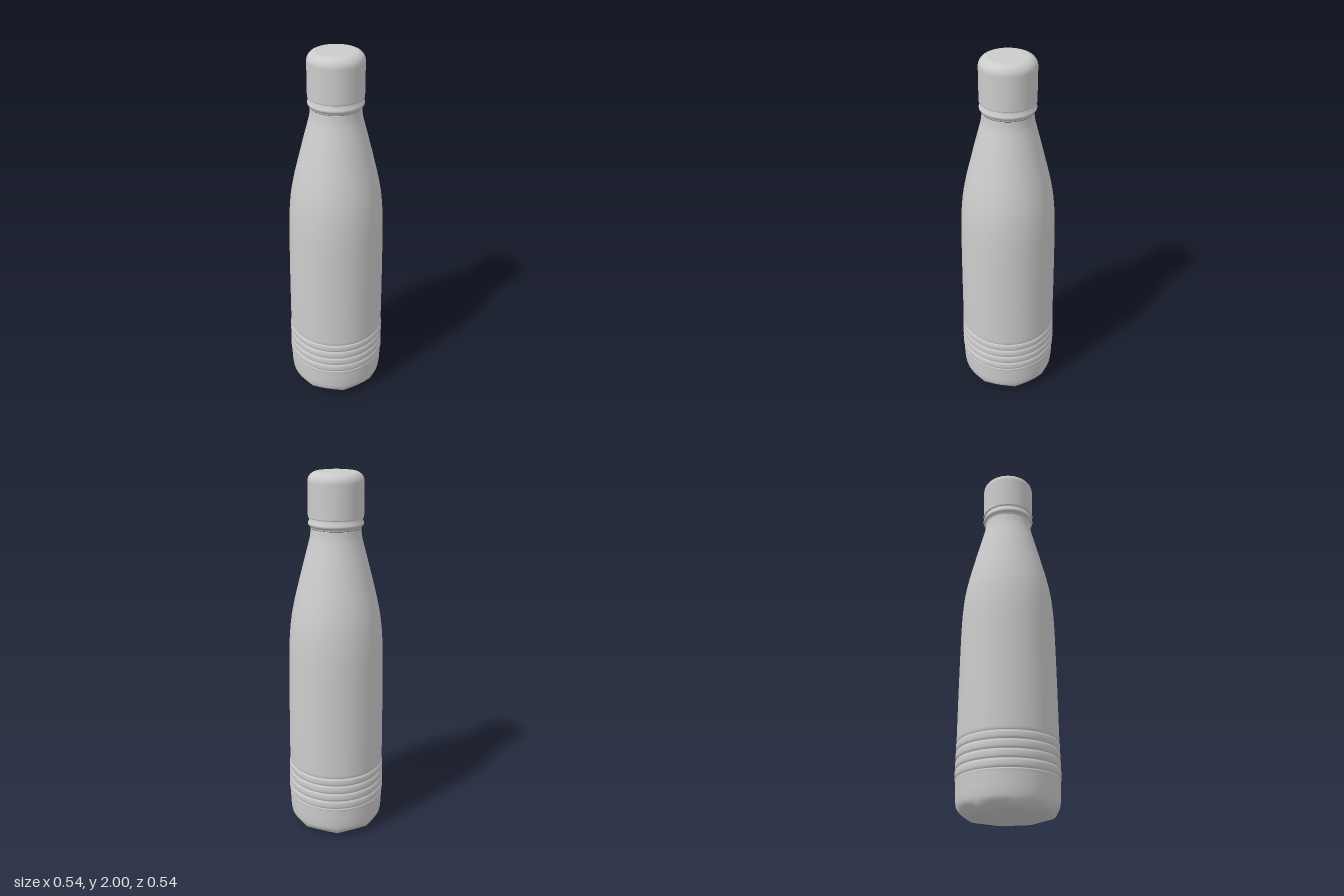
import * as THREE from 'three';
import { mergeVertices } from 'three/addons/utils/BufferGeometryUtils.js';

const SIDES = 96;
const v = (x, y) => new THREE.Vector2(x, y);
const material = new THREE.MeshStandardMaterial({ color: 0xcccccc });

// Smooth run of profile points through a few [radius, height] pairs
const smooth = (pairs, n) => new THREE.SplineCurve(pairs.map(p => v(...p))).getPoints(n);

function lathe(name, points, reshape) {
  let geo = new THREE.LatheGeometry(points, SIDES);
  if (reshape) {
    reshape(geo.attributes.position);
    geo.deleteAttribute('normal');
    geo.deleteAttribute('uv');
    geo = mergeVertices(geo, 1e-5);
    geo.computeVertexNormals();
  }
  const mesh = new THREE.Mesh(geo, material);
  mesh.name = name;
  return mesh;
}

// The underside blends from the round wall into a soft octagon
function octagonBase(pos) {
  const step = Math.PI / 4;
  for (let i = 0; i < pos.count; i++) {
    const x = pos.getX(i), y = pos.getY(i), z = pos.getZ(i);
    if (y > 0.06) continue;
    const a = Math.atan2(z, x);
    const local = a - (Math.floor(a / step) + 0.5) * step;
    const flat = Math.cos(step / 2) / Math.cos(local);
    const k = 1 + (flat - 1) * (1 - THREE.MathUtils.smoothstep(y, 0, 0.06));
    pos.setXYZ(i, x * k, y, z * k);
  }
}

export function createModel() {
  const model = new THREE.Group();
  model.name = 'bottle';

  // Body: base, grooved bands, shoulder and neck in one profile
  const profile = [
    v(0, 0), v(0.1, 0), v(0.185, 0),
    ...smooth([[0.205, 0.002], [0.235, 0.012], [0.255, 0.04], [0.264, 0.09], [0.267, 0.185]], 20),
  ];
  const grooves = [0.193, 0.24, 0.287, 0.335, 0.38];
  grooves.forEach((y, i) => {
    const r = 0.27 - i * 0.001;
    profile.push(v(r - 0.001, y - 0.005), v(r - 0.005, y - 0.0015), v(r - 0.005, y + 0.0015), v(r - 0.001, y + 0.005));
    if (i < grooves.length - 1) profile.push(v(r + 0.001, y + 0.014), v(r + 0.001, y + 0.033));
  });
  profile.push(...smooth([
    [0.265, 0.4], [0.262, 0.7], [0.257, 1.0], [0.252, 1.12], [0.241, 1.23], [0.222, 1.33],
    [0.2, 1.42], [0.172, 1.53], [0.148, 1.62], [0.136, 1.67], [0.131, 1.715],
  ], 60));
  model.add(lathe('body', profile, octagonBase));

  // Rounded collar between neck and cap
  model.add(lathe('collar', [
    v(0.125, 1.715),
    ...smooth([[0.131, 1.716], [0.134, 1.725], [0.143, 1.733], [0.145, 1.742], [0.141, 1.752], [0.137, 1.764], [0.136, 1.775]], 24),
    v(0.12, 1.775),
  ]));

  // Cap with a thin lower lip and a rounded top edge
  const cap = [v(0.12, 1.77), v(0.143, 1.77), v(0.143, 1.77), v(0.145, 1.773), v(0.145, 1.776), v(0.145, 1.85), v(0.145, 1.94)];
  for (let i = 0; i <= 14; i++) {
    const a = (i / 14) * Math.PI / 2;
    cap.push(v(0.095 + 0.05 * Math.cos(a), 1.95 + 0.05 * Math.sin(a)));
  }
  cap.push(v(0.05, 2), v(0, 2));
  model.add(lathe('cap', cap));

  return model;
}
